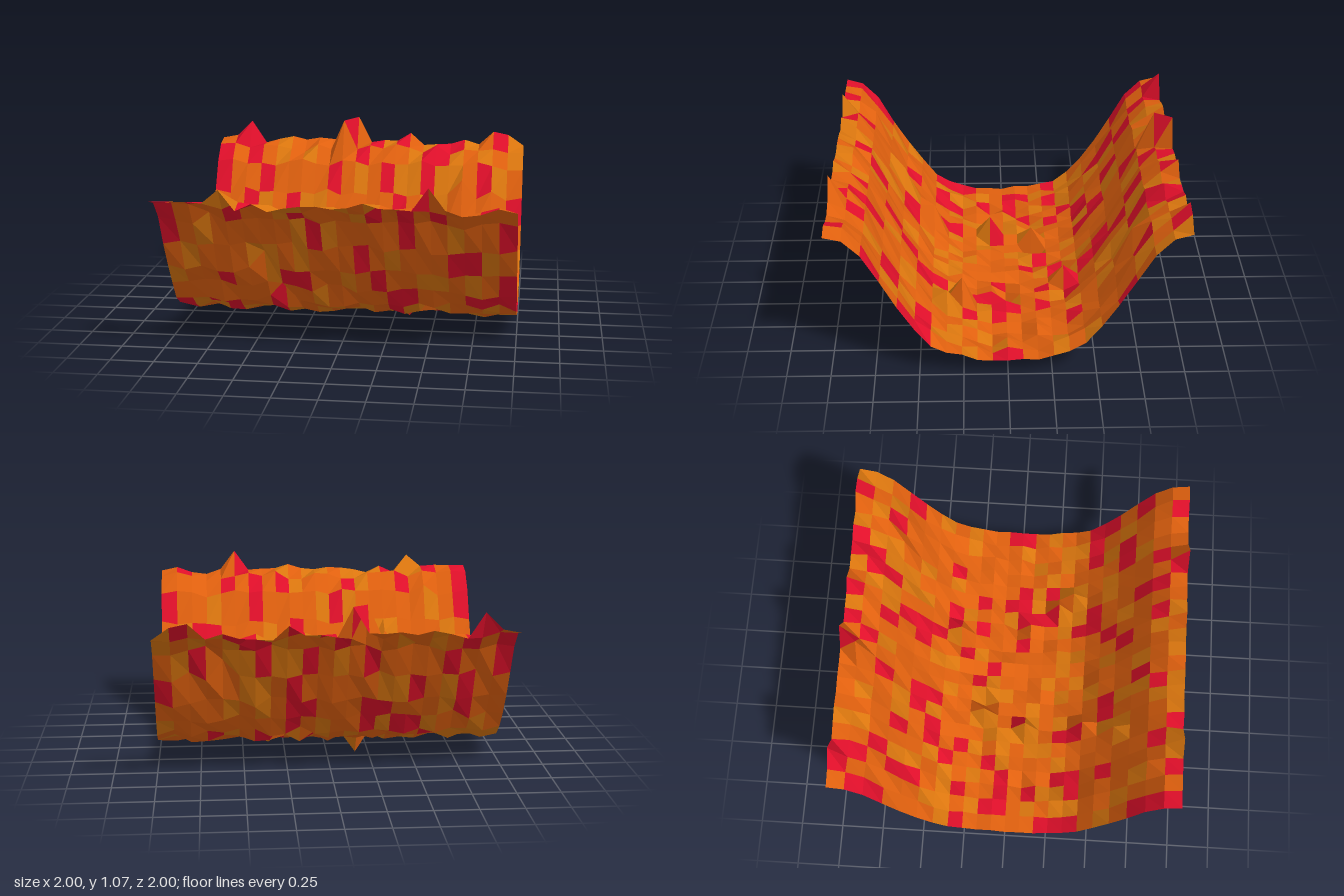
import * as THREE from 'three';

const N = 22, H = N / 2;

// half of the valley section, from the floor (0) to the rim (11)
const PROFILE = [0.1, 0.1, 0.11, 0.13, 0.155, 0.21, 0.32, 0.45, 0.62, 0.79, 0.88, 0.91];

// single peaks and pits: [column, row, height], counted from the centre
const SPIKES = [
  [-9, -11, 1.03], [-2, -10, 1.06], [-1, -11, 1.07], [-7, 11, 0.99], [6, 11, 1.03],
  [9, -11, 0.99], [10, -11, 0.97], [3, -11, 0.97], [-2, -2, 0], [4, 0, 0.02],
  [-8, 1, 0.05], [9, 1, 0.05], [-4, 1, 0.25], [5, 3, 0.29], [6, 4, 0.26],
  [-3, -2, 0.22], [3, -4, 0.26], [-4, 5, 0.34], [7, -8, 0.72], [-5, 7, 0.56],
];

function seeded(seed) {
  return () => {
    seed = (seed * 1664525 + 1013904223) % 4294967296;
    return seed / 4294967296;
  };
}

// cells grow slightly wider toward the edges
const spread = (i) => {
  const u = i / H;
  return 0.945 * u + 0.055 * u ** 3;
};

function makeHeights() {
  const rand = seeded(7);
  const heights = [];
  for (let r = -H; r <= H; r++) {
    const row = [];
    for (let c = -H; c <= H; c++) {
      const amount = Math.abs(c) === H ? 0.012 : 0.03;
      row.push(PROFILE[Math.abs(r)] + (rand() + rand() - 1) * amount * 1.4);
    }
    heights.push(row);
  }
  for (const [c, r, y] of SPIKES) heights[r + H][c + H] = y;
  return heights;
}

export function createModel() {
  const group = new THREE.Group();
  group.name = 'valleyTerrain';
  const heights = makeHeights();
  const point = (c, r) => [spread(c - H), heights[r][c], spread(r - H)];

  // patches of three colours, one colour per cell
  const patches = [
    { name: 'orangeCells', color: 0xe0600e, positions: [] },
    { name: 'amberCells', color: 0xdb760e, positions: [] },
    { name: 'redCells', color: 0xe00f2a, positions: [] },
  ];
  const rand = seeded(41);
  for (let r = 0; r < N; r++) {
    for (let c = 0; c < N; c++) {
      const pick = rand();
      const patch = patches[pick < 0.54 ? 0 : pick < 0.8 ? 1 : 2];
      const a = point(c, r), b = point(c, r + 1), d = point(c + 1, r + 1), e = point(c + 1, r);
      patch.positions.push(...a, ...b, ...e, ...b, ...d, ...e);
    }
  }

  for (const { name, color, positions } of patches) {
    const geometry = new THREE.BufferGeometry();
    geometry.setAttribute('position', new THREE.Float32BufferAttribute(positions, 3));
    geometry.computeVertexNormals();
    const material = new THREE.MeshStandardMaterial({ color, flatShading: true, side: THREE.DoubleSide });
    const mesh = new THREE.Mesh(geometry, material);
    mesh.name = name;
    group.add(mesh);
  }
  return group;
}
